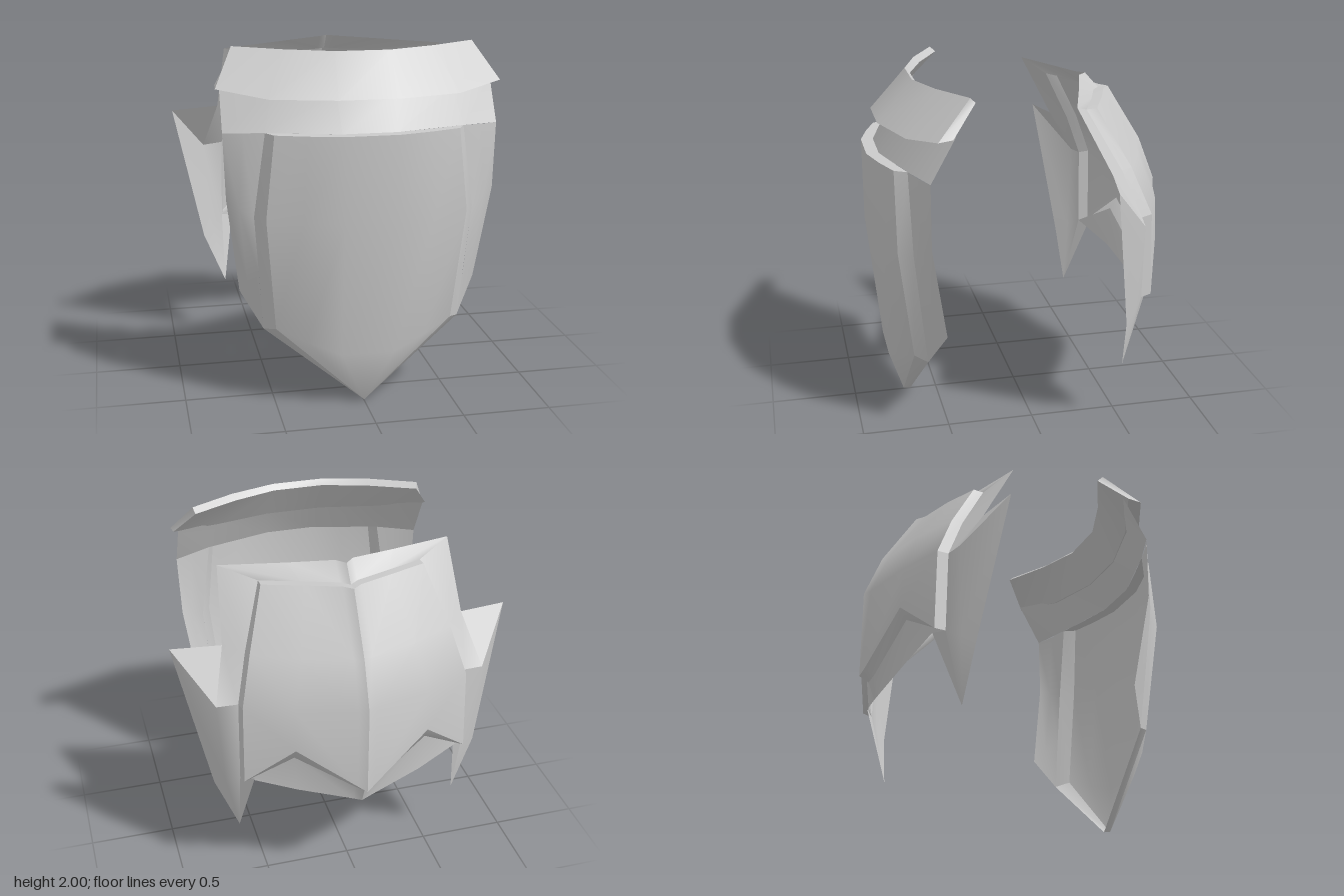
import * as THREE from 'three';
import { mergeVertices } from 'three/addons/utils/BufferGeometryUtils.js';

const material = new THREE.MeshStandardMaterial({ color: 0xcccccc, side: THREE.DoubleSide });

// Smooth sheet lofted through rows of points (top to bottom, seen from its front).
function sheet(name, rows, flip = false) {
  const cols = rows[0].length, index = [];
  for (let i = 0; i < rows.length - 1; i++) {
    for (let j = 0; j < cols - 1; j++) {
      const a = i * cols + j, b = a + 1, c = a + cols, d = c + 1;
      if (flip) index.push(a, b, c, b, d, c);
      else index.push(a, c, b, b, c, d);
    }
  }
  let geometry = new THREE.BufferGeometry();
  geometry.setAttribute('position', new THREE.Float32BufferAttribute(rows.flat(2), 3));
  geometry.setIndex(index);
  geometry = mergeVertices(geometry, 1e-4);
  geometry.computeVertexNormals();
  const mesh = new THREE.Mesh(geometry, material);
  mesh.name = name;
  return mesh;
}

const mirrorPoint = ([x, y, z]) => [-x, y, z];
const mirrorRows = rows => rows.map(row => row.map(mirrorPoint));
// A row given from the middle to +x, completed to the full width.
const full = row => [...row.map(mirrorPoint).reverse(), ...row];
// A left sheet and its mirrored right twin.
function pair(name, rows, flip = false) {
  return [sheet(name + 'Left', rows, flip), sheet(name + 'Right', mirrorRows(rows), !flip)];
}
const turn = rows => rows[0].map((_, j) => rows.map(row => row[j]));

function group(name, ...parts) {
  const g = new THREE.Group();
  g.name = name;
  g.add(...parts);
  return g;
}

// Slanted slab around the neck
function buildCollar() {
  const outerLow = [[.17, 1.76, .815], [.52, 1.757, .70], [.79, 1.80, .57]];
  const outerTop = [[.15, 1.99, .61], [.42, 1.995, .52], [.68, 2.0, .38]];
  const innerTop = [[.15, 1.96, .58], [.41, 1.965, .485], [.67, 1.97, .35]];
  const innerLow = [[.17, 1.755, .71], [.5, 1.765, .62], [.785, 1.81, .49]];
  const ring = [innerLow, innerTop, outerTop, outerLow, innerLow];
  const names = ['collarInside', 'collarTop', 'collarFront', 'collarUnderside'];
  const sides = names.map((n, i) => sheet(n, [full(ring[i]), full(ring[i + 1])]));
  const ends = pair('collarEnd', [
    [outerTop[2], innerTop[2]], [outerLow[2], innerLow[2]]]);
  return group('collar', ...sides, ...ends);
}

// Front plate with an embossed, pointed panel
function buildFront() {
  const panel = [
    [[.15, 1.58, .88], [.34, 1.58, .83], [.505, 1.58, .77]],
    [[.15, 1.10, .88], [.36, 1.11, .83], [.555, 1.12, .77]],
    [[.15, .33, .80], [.33, .40, .755], [.50, .47, .69]],
    [[0, .005, .70], [0, .005, .70], [0, .005, .70]],
  ];
  const panelEdge = panel.map(r => r[2]);
  const base = [[.545, 1.58, .70], [.61, 1.12, .69], [.56, .45, .62], [0, 0, .66]];
  const neckTop = [[.16, 1.77, .71], [.5, 1.78, .62], [.76, 1.82, .47]];
  const neckLow = [[.15, 1.58, .81], [.545, 1.58, .70], [.762, 1.57, .61]];
  return group('frontPlate',
    sheet('frontPanel', panel.map(full)),
    sheet('frontPanelLedge', [
      full([[.15, 1.58, .81], [.36, 1.58, .755], base[0]]), full(panel[0])]),
    sheet('frontNeck', [full(neckTop), full(neckLow)]),
    ...pair('frontPanelUpperBevel', turn([panelEdge.slice(0, 3), base.slice(0, 3)])),
    ...pair('frontPanelLowerBevel', turn([panelEdge.slice(2), base.slice(2)])),
    ...pair('frontFlank', [
      [base[0], [.66, 1.575, .66], neckLow[2]],
      [base[1], [.685, 1.16, .655], [.75, 1.20, .61]],
      [[.585, .78, .655], [.64, .71, .59], [.68, .65, .525]],
      [base[2], base[2], base[2]],
    ]));
}

// Back plate: ridged embossed panel, surrounding sheet and spiked wings
function buildBack() {
  const panel = [
    [[0, 1.86, -.57], [.05, 1.86, -.53], [.25, 1.86, -.46], [.46, 1.85, -.37]],
    [[0, 1.53, -.775], [.05, 1.53, -.745], [.32, 1.53, -.665], [.57, 1.53, -.545]],
    [[0, 1.27, -.877], [.05, 1.27, -.85], [.38, 1.27, -.76], [.64, 1.27, -.65]],
    [[0, .74, -.877], [.05, .775, -.86], [.38, 1.02, -.77], [.65, .79, -.66]],
  ];
  const side = panel.map(r => r[3]);
  const baseTop = panel[0].map(([x, y, z]) => [x, y - .005, z + .06]);
  const baseSide = side.map(([x, y, z]) => [x + .012, y - .01, z + .06]);
  baseSide[0] = baseTop[3];
  const baseLow = [[0, .71, -.82], [.05, .735, -.805], [.38, .95, -.73], baseSide[3]];
  const collarEdge = [[0, 1.945, -.43], [.05, 1.945, -.38], [.3, 1.93, -.31], [.66, 1.91, -.20]];
  const hem = [[0, .61, -.78], [.05, .625, -.77], [.36, .71, -.71], [.59, .79, -.65]];
  const notch = [.69, 1.53, -.40], root = [.77, 1.25, -.57];
  const wingTip = [.97, 1.52, -.35], spike = [.66, .365, -.50];
  return group('backPlate',
    ...pair('backPanel', panel, true),
    ...pair('backPanelTopLedge', [baseTop, panel[0]], true),
    ...pair('backPanelLowerLedge', [panel[3], baseLow], true),
    ...pair('backPanelUpperSide', turn([side.slice(0, 3), baseSide.slice(0, 3)]), true),
    ...pair('backPanelLowerSide', turn([side.slice(2), baseSide.slice(2)]), true),
    ...pair('backNeck', [collarEdge, baseTop], true),
    ...pair('backHem', [baseLow, hem], true),
    ...pair('backShoulder', [
      [baseSide[0], collarEdge[3]], [baseSide[1], notch], [baseSide[2], root]], true),
    ...pair('wingTop', [[notch, wingTip], [root, root]], true),
    ...pair('wing', [
      [baseSide[2], root, wingTip],
      [baseSide[3], [.735, .73, -.54], [.79, .68, -.475]],
      [spike, spike, spike],
    ], true),
    ...pair('wingHem', [[hem[3], baseSide[3]], [spike, spike]], true));
}

export function createModel() {
  return group('bodyArmour', buildCollar(), buildFront(), buildBack());
}
